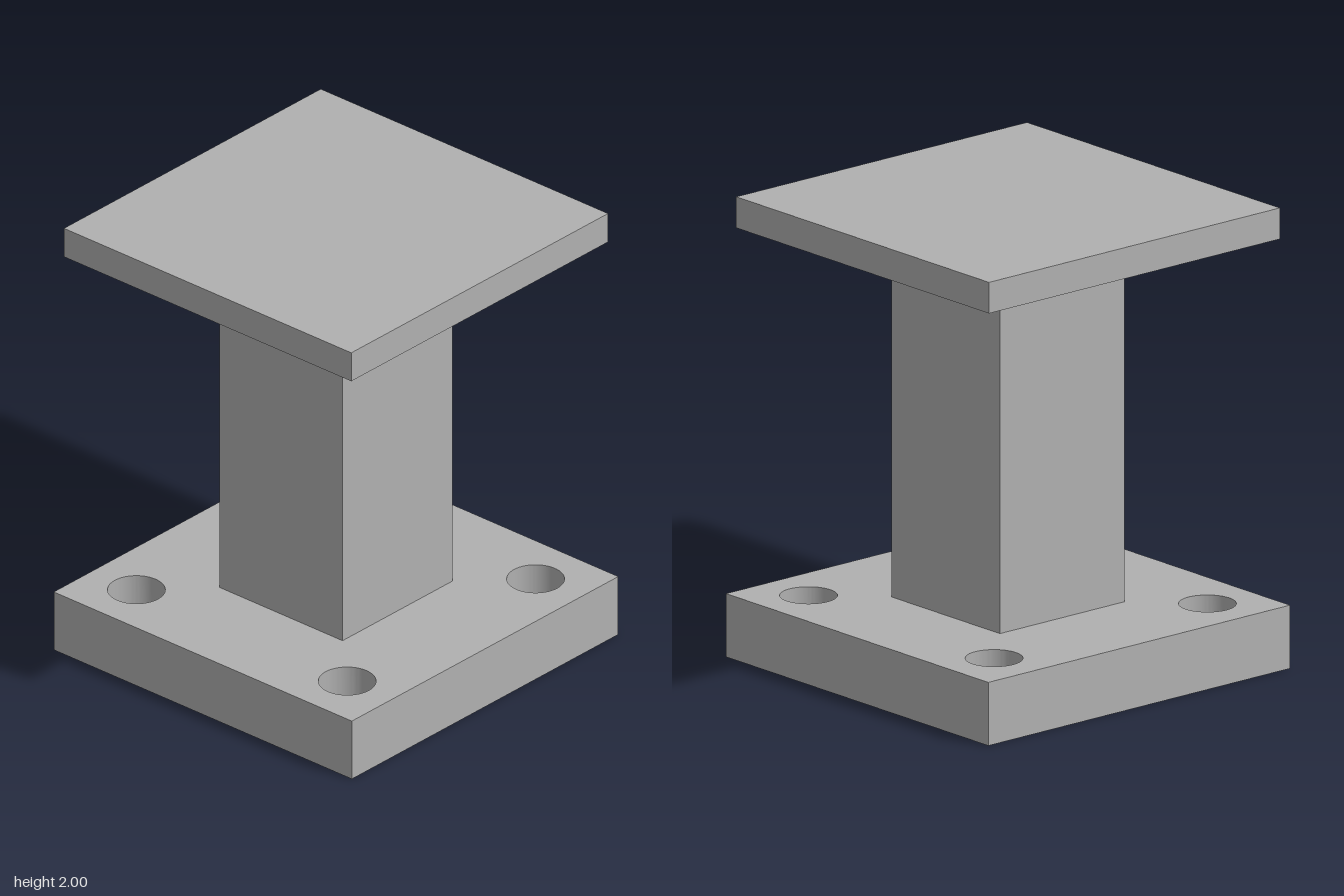
import * as THREE from 'three';
import { toCreasedNormals } from 'three/addons/utils/BufferGeometryUtils.js';

const BASE_HEIGHT = 0.275;
const PLATE_BOTTOM = 1.865;

export function createModel() {
  const group = new THREE.Group();
  const grey = new THREE.MeshStandardMaterial({ color: 0xb0b0b0 });
  grey.name = 'grey';

  const add = (name, geometry, y) => {
    const mesh = new THREE.Mesh(geometry, grey);
    mesh.name = name;
    mesh.position.y = y;
    group.add(mesh);
  };

  // Square base with four through bolt holes
  const half = 0.83, holeOffset = 0.587, holeRadius = 0.12;
  const outline = new THREE.Shape([
    new THREE.Vector2(-half, -half),
    new THREE.Vector2(half, -half),
    new THREE.Vector2(half, half),
    new THREE.Vector2(-half, half),
  ]);
  for (const x of [-holeOffset, holeOffset]) {
    for (const z of [-holeOffset, holeOffset]) {
      outline.holes.push(new THREE.Path().absarc(x, z, holeRadius, 0, Math.PI * 2, true));
    }
  }
  const base = new THREE.ExtrudeGeometry(outline, {
    depth: BASE_HEIGHT, bevelEnabled: false, curveSegments: 48,
  });
  base.rotateX(-Math.PI / 2);
  add('basePlate', toCreasedNormals(base, 0.6), 0);

  // Square column between the plates
  const columnHeight = PLATE_BOTTOM - BASE_HEIGHT;
  add('column', new THREE.BoxGeometry(0.685, columnHeight, 0.685), BASE_HEIGHT + columnHeight / 2);

  // Thin square top plate
  const plateHeight = 2 - PLATE_BOTTOM;
  add('topPlate', new THREE.BoxGeometry(1.6, plateHeight, 1.6), PLATE_BOTTOM + plateHeight / 2);

  return group;
}
